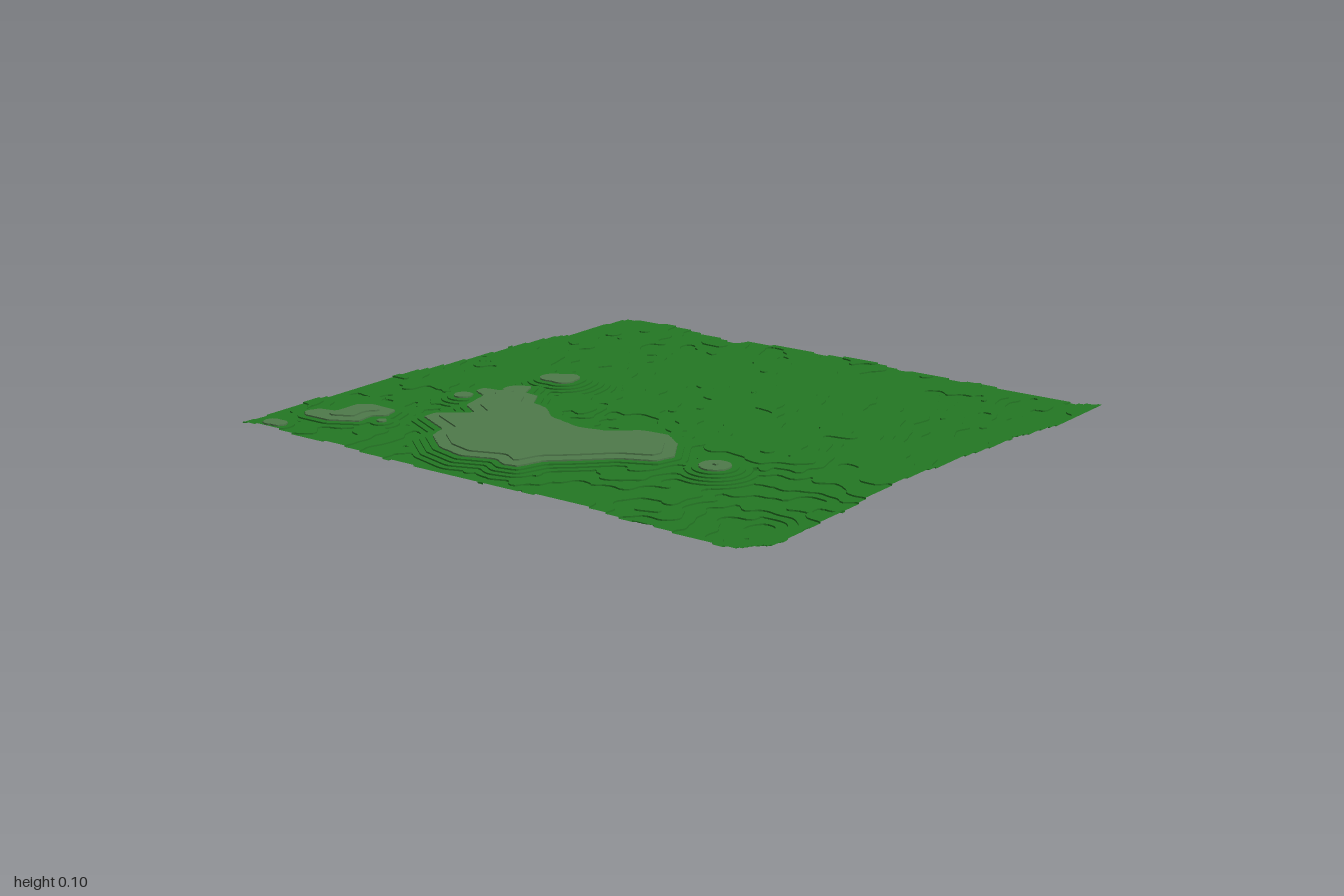
import * as THREE from 'three';

const STEP = 0.005, N = 150, ROCK_LEVEL = 21;

// Outlines of the bare plateaus (x, z)
const PLATEAUS = [
  [[-.55, .18], [-.5, .16], [-.47, .23], [-.41, .24], [-.37, .31], [-.3, .33], [-.22, .4], [-.08, .44], [.02, .42],
    [.1, .35], [.2, .34], [.28, .4], [.35, .51], [.33, .58], [.22, .63], [.13, .72], [.06, .78], [.03, .87],
    [-.02, .88], [-.07, .85], [-.18, .89], [-.29, .86], [-.39, .78], [-.41, .71], [-.55, .64], [-.55, .59],
    [-.45, .51], [-.53, .46], [-.56, .34], [-.62, .31], [-.62, .27], [-.55, .26], [-.57, .22]],
  [[-.9, .82], [-.88, .77], [-.82, .76], [-.82, .66], [-.77, .63], [-.67, .64], [-.65, .7], [-.69, .73],
    [-.68, .8], [-.77, .85], [-.87, .85]],
];
// Small round knolls (x, z, radius)
const KNOLLS = [[-.48, .005, .046], [-.52, .03, .045], [-.475, .03, .045], [.5, .51, .052], [-.62, .37, .033],
  [-.63, .75, .018], [-.9, .965, .03], [-.87, .965, .03]];

// Signed distance to a polygon, negative inside
function polygonDistance(pts, x, z) {
  let d = Infinity, inside = false;
  pts.forEach(([ax, az], i) => {
    const [bx, bz] = pts[(i + 1) % pts.length];
    const ex = bx - ax, ez = bz - az;
    const t = THREE.MathUtils.clamp(((x - ax) * ex + (z - az) * ez) / (ex * ex + ez * ez), 0, 1);
    d = Math.min(d, Math.hypot(x - ax - ex * t, z - az - ez * t));
    if ((az > z) !== (bz > z) && x < ax + ex * (z - az) / ez) inside = !inside;
  });
  return inside ? -d : d;
}

// Smooth value noise in -1..1
function hash(i, j) {
  const s = Math.sin(i * 127.1 + j * 311.7) * 43758.5453;
  return (s - Math.floor(s)) * 2 - 1;
}
function noise(x, z) {
  const i = Math.floor(x), j = Math.floor(z);
  const u = THREE.MathUtils.smoothstep(x - i, 0, 1), v = THREE.MathUtils.smoothstep(z - j, 0, 1);
  const { lerp } = THREE.MathUtils;
  return lerp(lerp(hash(i, j), hash(i + 1, j), u), lerp(hash(i, j + 1), hash(i + 1, j + 1), u), v);
}

// Mean terrain level from back to front
const SLOPE = [[-1.2, 5.4], [-1, 5.8], [-.7, 7.2], [-.5, 9.6], [-.3, 12.2], [0, 16], [.3, 18.2], [.7, 17.4],
  [1, 16], [1.2, 15.6]];
function slope(z) {
  const k = SLOPE.findIndex((p) => p[0] >= z);
  const [z0, h0] = SLOPE[k - 1], [z1, h1] = SLOPE[k];
  return h0 + (h1 - h0) * (z - z0) / (z1 - z0);
}
const bump = (x, z, cx, cz, r) => Math.exp(-((x - cx) ** 2 + (z - cz) ** 2) / (r * r));

// Terrain height in contour levels
function level(x, z) {
  const spur = .15 * Math.exp(-(((x - .2) / .3) ** 2)) - .1 * Math.exp(-(((x + .42) / .2) ** 2));
  let h = slope(z + spur);
  h += 1.6 * noise(x * 3.5 + 7, z * 3.5 + 3) + .9 * noise(x * 9, z * 9 + 5) + .55 * noise(x * 21, z * 21);
  h += 3 * bump(x, z, -1, 1, .4) - 3.6 * bump(x, z, .86, .86, .28) + 4 * bump(x, z, 1, 1, .06);
  h = THREE.MathUtils.clamp(h, 3.2, ROCK_LEVEL - .1);
  h -= 4 * bump(x, z, -.5, -1, .05);
  let d = Infinity;
  for (const p of PLATEAUS) d = Math.min(d, polygonDistance(p, x, z));
  for (const [cx, cz, r] of KNOLLS) d = Math.min(d, Math.hypot(x - cx, z - cz) - r);
  return THREE.MathUtils.clamp(Math.max(h, ROCK_LEVEL - d * (d > 0 ? 50 : 24)), 0, ROCK_LEVEL + 1.9);
}

// Keep the part of a polygon of [x, z, h] points above (sign 1) or below (sign -1) a level
function clip(poly, L, sign) {
  const out = [];
  poly.forEach((a, i) => {
    const b = poly[(i + 1) % poly.length];
    const da = (a[2] - L) * sign, db = (b[2] - L) * sign;
    if (da >= 0) out.push(a);
    if ((da > 0 && db < 0) || (da < 0 && db > 0)) {
      const t = da / (da - db);
      out.push([a[0] + (b[0] - a[0]) * t, a[1] + (b[1] - a[1]) * t, L]);
    }
  });
  return out;
}

// Vertical riser between two points, from level L - 1 up to level L
function addRiser(target, a, b, L) {
  const y0 = (L - 1) * STEP, y1 = L * STEP;
  target.push(
    a[0], y0, a[1], b[0], y0, b[1], b[0], y1, b[1],
    a[0], y0, a[1], b[0], y1, b[1], a[0], y1, a[1]);
}

function meshFrom(name, positions, colorName, color) {
  const g = new THREE.BufferGeometry();
  g.setAttribute('position', new THREE.Float32BufferAttribute(positions, 3));
  g.computeVertexNormals();
  const material = new THREE.MeshStandardMaterial({ color, side: THREE.DoubleSide });
  material.name = colorName;
  const m = new THREE.Mesh(g, material);
  m.name = name;
  return m;
}

export function createModel() {
  const grass = [], rock = [];

  // Cut one triangle into flat terraces joined by risers
  function terrace(tri) {
    const hs = tri.map((p) => p[2]);
    const lo = Math.floor(Math.min(...hs)), hi = Math.floor(Math.max(...hs));
    for (let L = lo; L <= hi; L++) {
      const target = L >= ROCK_LEVEL ? rock : grass;
      let poly = tri;
      if (L > lo) {
        poly = clip(poly, L, 1);
        const edge = poly.filter((p) => p[2] === L);
        if (edge.length === 2) addRiser(target, edge[0], edge[1], L);
      }
      if (L < hi) poly = clip(poly, L + 1, -1);
      for (let k = 1; k + 1 < poly.length; k++) {
        for (const p of [poly[0], poly[k], poly[k + 1]]) target.push(p[0], L * STEP, p[1]);
      }
    }
  }

  // Height grid
  const grid = [];
  for (let j = 0; j <= N; j++) {
    const row = [];
    for (let i = 0; i <= N; i++) {
      const x = -1 + 2 * i / N, z = -1 + 2 * j / N;
      row.push([x, z, level(x, z)]);
    }
    grid.push(row);
  }
  for (let j = 0; j < N; j++) {
    for (let i = 0; i < N; i++) {
      const a = grid[j][i], b = grid[j][i + 1], c = grid[j + 1][i], d = grid[j + 1][i + 1];
      terrace([a, c, b]);
      terrace([b, c, d]);
    }
  }

  const group = new THREE.Group();
  group.name = 'terracedTerrain';
  group.add(
    meshFrom('grassTerraces', grass, 'grass green', 0x247824),
    meshFrom('barePlateaus', rock, 'grey green', 0x4f7a4b),
  );
  return group;
}
